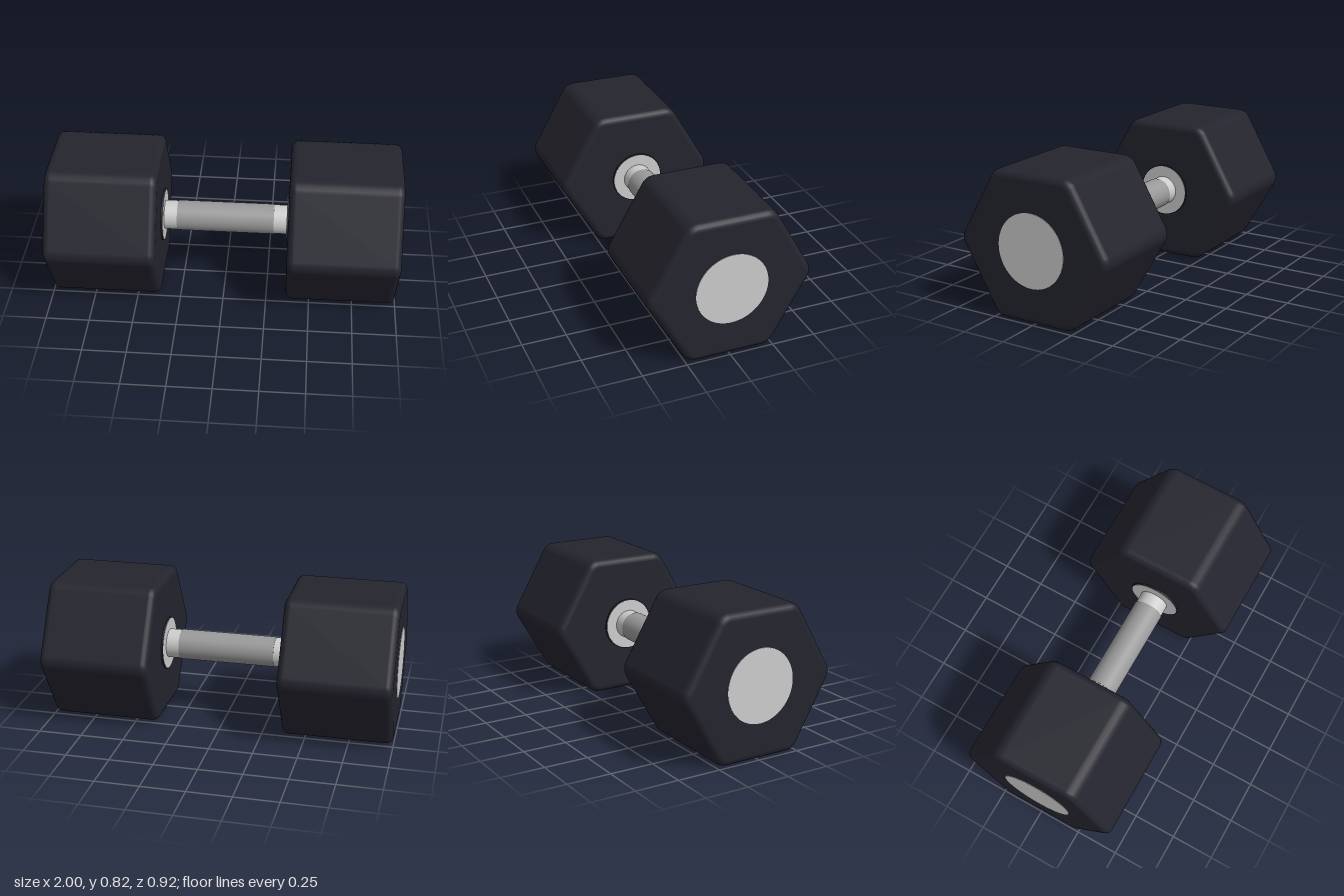
import * as THREE from 'three';

const MID = 0.41; // axis height, also the hexagon apothem

// Hexagonal prism along x with rounded corners and rounded rims
function hexHead(x0, x1) {
  const r = 0.08, bevel = 0.04, arcSteps = 4, rimSteps = 5;
  const reach = (MID - r) / Math.cos(Math.PI / 6);
  const outline = [];
  for (let i = 0; i < 6; i++) {
    const a = (i * Math.PI) / 3;
    for (let j = 0; j <= arcSteps; j++) {
      const t = a + (j / arcSteps - 0.5) * (Math.PI / 3);
      outline.push({ cz: reach * Math.cos(a), cy: reach * Math.sin(a), dz: Math.cos(t), dy: Math.sin(t) });
    }
  }
  // Rim cross-sections from the x0 end to the x1 end
  const rings = [];
  for (const s of [-1, 1]) {
    for (let k = 0; k <= rimSteps; k++) {
      const phi = ((s < 0 ? k - rimSteps : k) / rimSteps) * (Math.PI / 2);
      const base = s < 0 ? x0 + bevel : x1 - bevel;
      rings.push({ x: base + bevel * Math.sin(phi), rad: r - bevel + bevel * Math.cos(phi), nx: Math.sin(phi), nr: Math.cos(phi) });
    }
  }
  const pos = [], nor = [], idx = [], n = outline.length;
  for (const g of rings) {
    for (const o of outline) {
      pos.push(g.x, o.cy + g.rad * o.dy, o.cz + g.rad * o.dz);
      nor.push(g.nx, g.nr * o.dy, g.nr * o.dz);
    }
  }
  for (let k = 0; k < rings.length - 1; k++) {
    for (let i = 0; i < n; i++) {
      const a = k * n + i, b = k * n + ((i + 1) % n);
      idx.push(a, a + n, b, b, a + n, b + n);
    }
  }
  // Flat end faces
  const c0 = rings.length * n, last = (rings.length - 1) * n;
  pos.push(x0, 0, 0, x1, 0, 0);
  nor.push(-1, 0, 0, 1, 0, 0);
  for (let i = 0; i < n; i++) {
    const j = (i + 1) % n;
    idx.push(c0, i, j, c0 + 1, last + j, last + i);
  }
  // Make the winding agree with the outward normals
  const p = (i) => new THREE.Vector3().fromArray(pos, i * 3);
  const [a, b, c] = idx.slice(-3).map(p);
  if (b.sub(a).cross(c.sub(a)).x < 0) idx.reverse();
  const geo = new THREE.BufferGeometry();
  geo.setAttribute('position', new THREE.Float32BufferAttribute(pos, 3));
  geo.setAttribute('normal', new THREE.Float32BufferAttribute(nor, 3));
  geo.setIndex(idx);
  return geo;
}

// Cylinder lying along x between two positions
function rod(radius, x0, x1) {
  const geo = new THREE.CylinderGeometry(radius, radius, x1 - x0, 64);
  geo.rotateZ(-Math.PI / 2);
  geo.translate((x0 + x1) / 2, 0, 0);
  return geo;
}

export function createModel() {
  const material = (name, color) => {
    const m = new THREE.MeshStandardMaterial({ color });
    m.name = name;
    return m;
  };
  const rubber = material('darkRubber', 0x24242e);
  const chrome = material('chrome', 0xcccccc);
  const knurl = material('gripSteel', 0x999999);

  const model = new THREE.Group();
  model.name = 'dumbbell';
  const add = (parent, name, geo, mat) => {
    const mesh = new THREE.Mesh(geo, mat);
    mesh.name = name;
    parent.add(mesh);
  };

  // Handle bar and its textured grip
  const handle = new THREE.Group();
  handle.name = 'handle';
  handle.position.y = MID;
  add(handle, 'bar', rod(0.084, -0.4, 0.4), chrome);
  add(handle, 'grip', rod(0.087, -0.28, 0.28), knurl);
  model.add(handle);

  // Weights, one at each end
  for (const side of [1, -1]) {
    const weight = new THREE.Group();
    weight.name = side > 0 ? 'leftWeight' : 'rightWeight';
    weight.position.y = MID;
    weight.rotation.y = side > 0 ? 0 : Math.PI;
    add(weight, 'head', hexHead(0.365, 0.997), rubber);
    add(weight, 'endCap', rod(0.205, 0.99, 1.0), chrome);
    add(weight, 'collarRim', rod(0.153, 0.356, 0.375), rubber);
    add(weight, 'collarFace', rod(0.148, 0.354, 0.36), chrome);
    model.add(weight);
  }
  return model;
}
